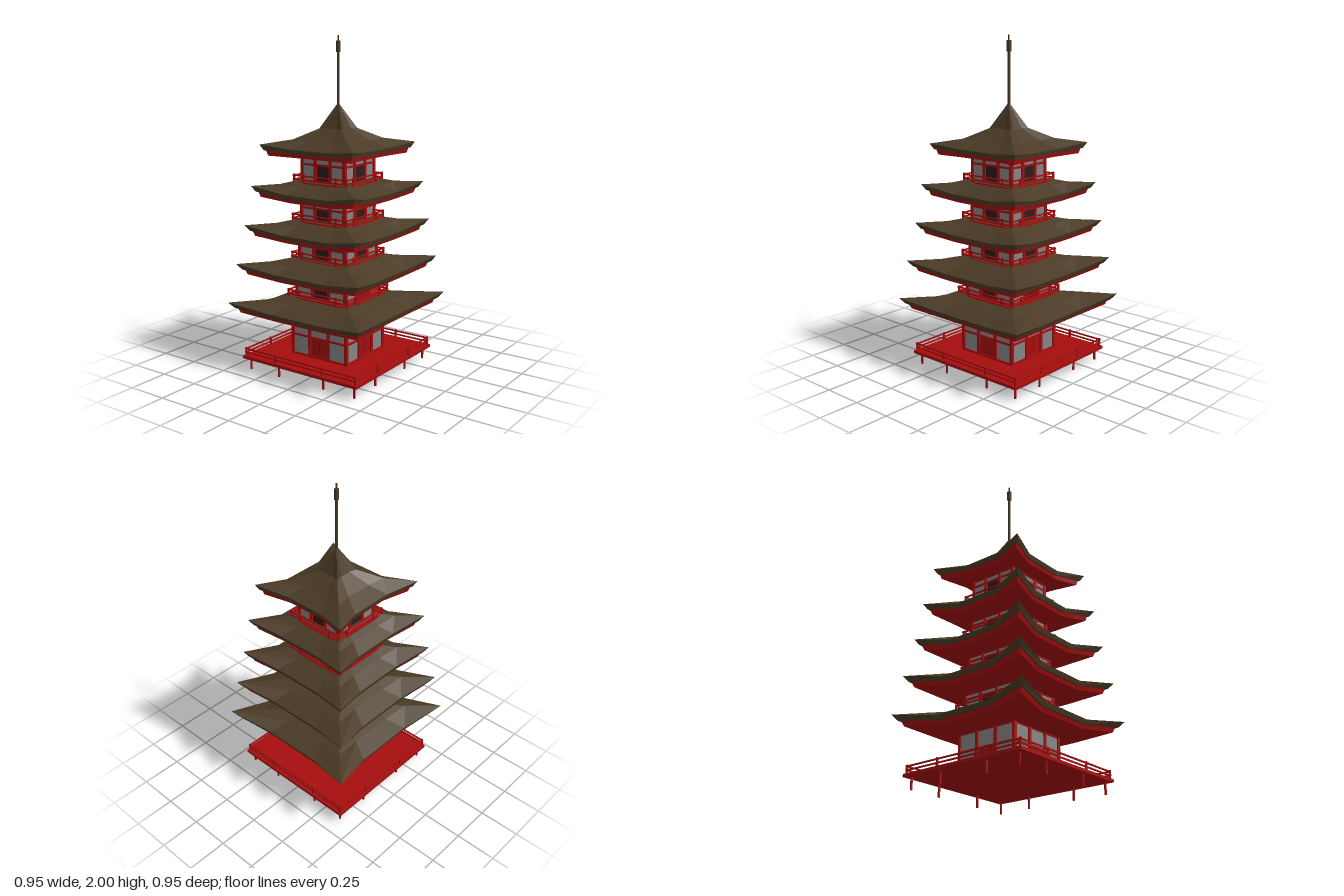
import * as THREE from 'three';

const mat = (name, color) => {
  const m = new THREE.MeshStandardMaterial({ color });
  m.name = name;
  return m;
};

export function createModel() {
  const red = mat('red lacquer', 0xa60d0d);
  const brown = mat('brown roof tile', 0x4a3a25);
  const grey = mat('grey panel', 0x858585);
  const dark = mat('dark door', 0x2c1c1c);
  const model = new THREE.Group();
  model.name = 'pagoda';

  const group = (name, parent = model) => {
    const g = new THREE.Group();
    g.name = name;
    parent.add(g);
    return g;
  };
  const box = (parent, name, m, w, h, d, x, y, z) => {
    const mesh = new THREE.Mesh(new THREE.BoxGeometry(w, h, d), m);
    mesh.name = name;
    mesh.position.set(x, y, z);
    parent.add(mesh);
    return mesh;
  };
  // Repeats a part on all four sides
  const fourSides = (parent, name, build) => {
    for (let k = 0; k < 4; k++) {
      const side = group(name, parent);
      side.rotation.y = k * Math.PI / 2;
      build(side);
    }
  };

  // Twelve-point ring: corner c at height yc, straight run of half length f at distance m, height ym
  const ring = ([c, m, f, yc, ym]) => {
    const pts = [];
    for (let k = 0; k < 4; k++) {
      for (let [x, y, z] of [[-f, ym, m], [f, ym, m], [c, yc, c]]) {
        for (let r = 0; r < k; r++) [x, z] = [z, -x];
        pts.push([x, y, z]);
      }
    }
    return pts;
  };
  // Skins a list of rings, ordered from the underside outwards and up
  const skin = (parent, name, m, sections) => {
    const rings = sections.map(ring), pos = [];
    for (let r = 0; r + 1 < rings.length; r++) {
      const lo = rings[r], hi = rings[r + 1];
      for (let i = 0; i < 12; i++) {
        const j = (i + 1) % 12;
        pos.push(...lo[i], ...lo[j], ...hi[j], ...lo[i], ...hi[j], ...hi[i]);
      }
    }
    const g = new THREE.BufferGeometry();
    g.setAttribute('position', new THREE.Float32BufferAttribute(pos, 3));
    g.computeVertexNormals();
    const mesh = new THREE.Mesh(g, m);
    mesh.name = name;
    parent.add(mesh);
  };

  // Railing round a square of half size r, with rails at the given heights
  const railing = (r, base, rails, post) => {
    const top = rails[rails.length - 1];
    fourSides(group('railing'), 'railingSide', s => {
      for (const y of rails) box(s, 'rail', red, 2 * r + 0.016, 0.008, 0.008, 0, y, r);
      for (const x of [-r, -post, post]) {
        box(s, 'railPost', red, 0.01, top - base + 0.008, 0.01, x, (top + base) / 2 + 0.004, r);
      }
    });
  };

  // Platform on stilts
  box(model, 'platform', red, 0.83, 0.018, 0.83, 0, 0.08, 0);
  fourSides(group('stilts'), 'stiltRow', s => {
    for (const x of [-0.38, -0.163, 0.163]) box(s, 'stilt', red, 0.01, 0.075, 0.01, x, 0.0375, 0.38);
  });
  railing(0.4, 0.09, [0.11, 0.132], 0.17);

  // Storeys: wall half width, wall bottom, wall top, beam height, bay post offset
  const storeys = [
    [0.205, 0.088, 0.325, 0.215, 0.068],
    [0.187, 0.45, 0.565, 0.528, 0.06],
    [0.174, 0.68, 0.8, 0.764, 0.058],
    [0.163, 0.91, 1.035, 0.998, 0.056],
    [0.16, 1.14, 1.3, 1.257, 0.055],
  ];
  storeys.forEach(([w, y0, y1, beam, p], i) => {
    const storey = group('storey' + (i + 1));
    const h = y1 - y0, mid = (y0 + y1) / 2;
    box(storey, 'wallCore', red, 2 * w - 0.03, h, 2 * w - 0.03, 0, mid, 0);
    fourSides(storey, 'wall', s => {
      const zp = w - 0.0125, bay = w - p - 0.02, bx = (w + p) / 2 - 0.005;
      for (const x of [-w + 0.01, -p, p]) box(s, 'post', red, 0.018, h, 0.02, x, mid, w - 0.01);
      for (const y of [y0 + 0.006, beam, y1 - 0.006]) {
        box(s, 'beam', red, 2 * w - 0.02, 0.012, 0.016, 0, y, w - 0.011);
      }
      const upH = y1 - beam - 0.012, upY = (y1 + beam) / 2;
      const lowH = beam - y0 - 0.012, lowY = (y0 + beam) / 2;
      for (const x of [-bx, bx]) {
        box(s, 'upperPanel', grey, bay, upH, 0.006, x, upY, zp);
        box(s, 'lowerPanel', grey, bay, lowH, 0.006, x, lowY, zp);
      }
      box(s, 'transomPanel', grey, 2 * p - 0.018, upH, 0.006, 0, upY, zp);
      box(s, 'door', i ? dark : red, 2 * p - 0.018, lowH, 0.006, 0, lowY, zp);
      if (!i) box(s, 'doorSeam', dark, 0.002, lowH - 0.01, 0.007, 0, lowY, zp);
    });
  });

  // Balconies of the upper storeys: half size, floor height
  [[0.215, 0.45], [0.197, 0.682], [0.193, 0.915], [0.187, 1.148]].forEach(([r, y]) => {
    box(model, 'balconyFloor', red, 2 * r + 0.01, 0.01, 2 * r + 0.01, 0, y, 0);
    railing(r, y, [y + 0.018, y + 0.042], r * 0.62);
  });

  // Roofs: corner half width, side half width, corner height, sag of the eave, soffit height
  const roofs = [
    [0.473, 0.405, 0.428, 0.045, 0.316],
    [0.436, 0.375, 0.664, 0.045, 0.555],
    [0.398, 0.337, 0.898, 0.045, 0.79],
    [0.368, 0.31, 1.132, 0.043, 1.022],
    [0.33, 0.267, 1.375, 0.025, 1.292],
  ];
  roofs.forEach(([c, m, y, sag, soffit], i) => {
    const roof = group('roof' + (i + 1));
    const w = storeys[i][0], f = c * 0.41, ym = y - sag;
    // Red soffit and fascia under the eave
    skin(roof, 'soffit', red, [
      [w - 0.02, w - 0.02, w * 0.5, soffit, soffit],
      [c * 0.89, m * 0.92, f * 0.95, y - 0.066, ym - 0.048],
      [c * 0.915, m * 0.945, f * 0.95, y - 0.036, ym - 0.022],
    ]);
    // Tiled shell, closing with a steep cap on the topmost roof
    const shell = [
      [c * 0.88, m * 0.9, f * 0.95, y - 0.036, ym - 0.024],
      [c * 0.945, m * 0.975, f, y - 0.034, ym - 0.027],
      [c, m, f, y, ym],
    ];
    if (i < 4) {
      const n = storeys[i + 1][0];
      const k = (c + n) / 2 - 0.02;
      shell.push([k, k * 0.94, k * 0.45, y + 0.008, y - 0.004]);
      shell.push([n - 0.01, n - 0.014, n * 0.45, y + 0.034, y + 0.034]);
    } else {
      shell.push([0.19, 0.17, 0.085, 1.402, 1.396]);
      shell.push([0.08, 0.068, 0.035, 1.463, 1.463]);
      shell.push([0.004, 0.004, 0.002, 1.607, 1.607]);
    }
    skin(roof, 'tiles', brown, shell);
  });

  // Spire
  const spire = group('spire');
  box(spire, 'mast', brown, 0.012, 0.33, 0.012, 0, 1.745, 0);
  box(spire, 'finial', brown, 0.02, 0.065, 0.02, 0, 1.937, 0);
  box(spire, 'tip', brown, 0.007, 0.04, 0.007, 0, 1.98, 0);
  return model;
}
